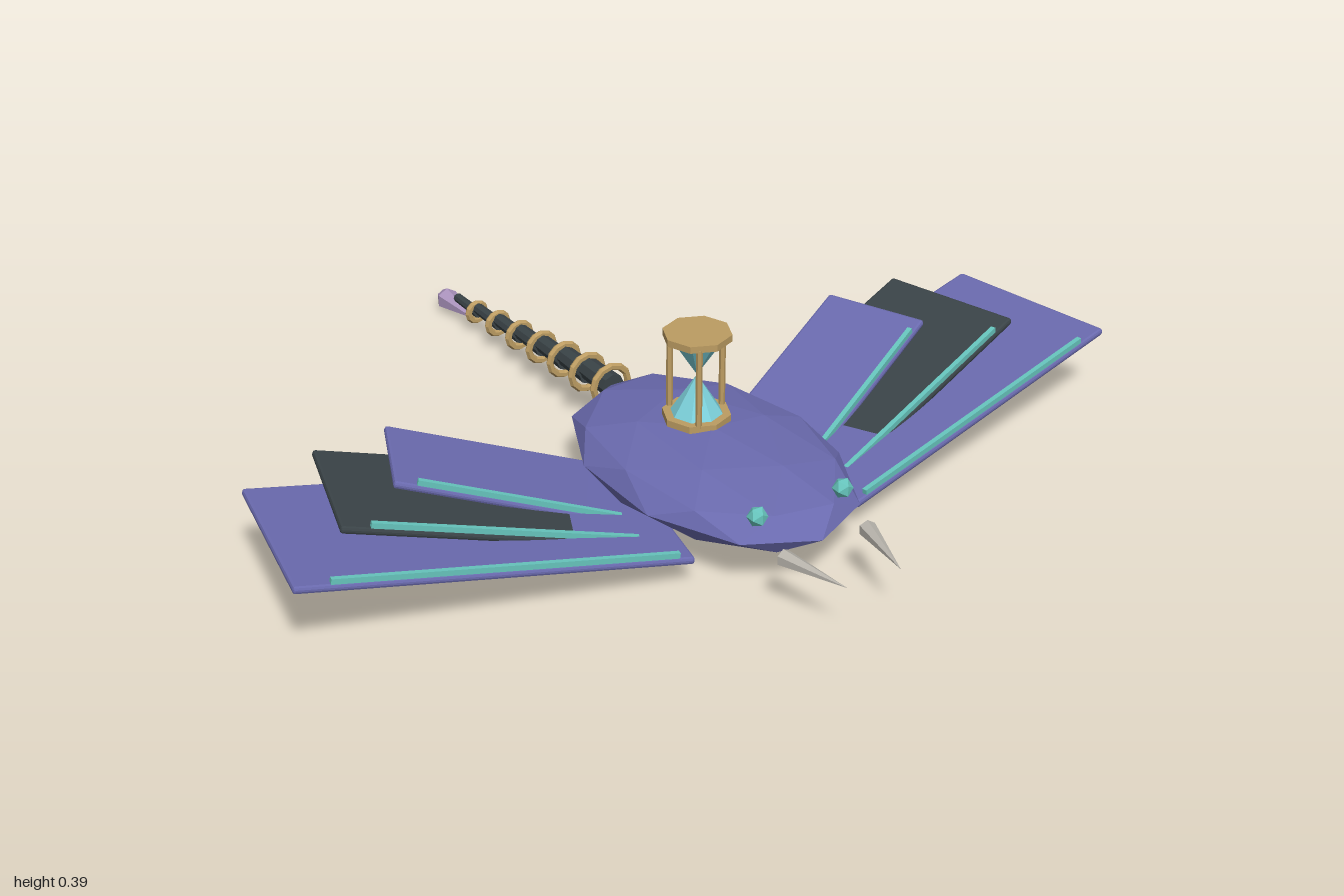
import * as THREE from 'three';
import { RoundedBoxGeometry } from 'three/addons/geometries/RoundedBoxGeometry.js';

const mat = (name, color) => {
  const m = new THREE.MeshStandardMaterial({ color, flatShading: true });
  m.name = name;
  return m;
};

export function createModel() {
  const root = new THREE.Group();
  root.name = 'hourglassRay';
  const purple = mat('purple hide', 0x6a6aae);
  const charcoal = mat('charcoal', 0x3a4347);
  const teal = mat('teal glow', 0x66c4bc);
  const glass = mat('pale cyan sand', 0x7cd0da);
  const brass = mat('brass', 0xbc9c62);
  const bone = mat('grey bone', 0xb8b4ac);
  const lilac = mat('lilac crystal', 0xac94be);

  const add = (parent, name, geometry, material, x = 0, y = 0, z = 0) => {
    const mesh = new THREE.Mesh(geometry, material);
    mesh.name = name;
    mesh.position.set(x, y, z);
    parent.add(mesh);
    return mesh;
  };

  // Body: faceted ball with a corner on the y axis, squashed into a flat oval
  const ball = new THREE.IcosahedronGeometry(1, 1);
  ball.rotateX(-Math.atan2(0.8507, 0.5257));
  ball.rotateY(Math.PI / 2);
  ball.scale(0.25, 0.076, 0.389);
  add(root, 'body', ball, purple, 0, 0.12, 0.2885);

  // Wings: three overlapping plates a side, each with a raised glowing stripe
  const wings = [
    { name: 'frontWing', x: 0.158, y: 0.061, z: 0.33, span: 0.816, rise: 0.11, chord: 0.403, yaw: 0.21, material: purple },
    { name: 'middleWing', x: 0.166, y: 0.05, z: 0.277, span: 0.65, rise: 0.142, chord: 0.323, yaw: 0.3, material: charcoal },
    { name: 'rearWing', x: 0.159, y: 0.049, z: 0.233, span: 0.5, rise: 0.144, chord: 0.24, yaw: 0.415, material: purple },
  ];
  for (const s of [1, -1]) {
    for (const w of wings) {
      const wing = new THREE.Group();
      wing.name = w.name + (s > 0 ? 'Left' : 'Right');
      wing.position.set(s * w.x, w.y, w.z);
      wing.rotation.set(0, s * w.yaw, s * Math.atan2(w.rise, w.span), 'YZX');
      const length = Math.hypot(w.span, w.rise);
      add(wing, 'wingPlate', new RoundedBoxGeometry(length, 0.016, w.chord, 1, 0.006), w.material, s * length / 2);
      add(wing, 'wingStripe', new THREE.BoxGeometry(length * 0.87, 0.013, 0.011), teal,
        s * length * 0.475, 0.0125, w.chord / 2 - 0.009);
      root.add(wing);
    }

    // Eyes, fangs and belly gills
    add(root, 'eye', new THREE.IcosahedronGeometry(0.022, 0), teal, s * 0.104, 0.17, 0.6);
    const fang = new THREE.ConeGeometry(0.019, 0.165, 6);
    fang.rotateX(Math.PI / 2);
    add(root, 'fang', fang, bone, s * 0.083, 0.12, 0.767).rotation.y = -s * 0.235;
    for (let i = 0; i < 3; i++) {
      add(root, 'gill', new THREE.BoxGeometry(0.08, 0.012, 0.008), teal,
        s * 0.075, 0.047 + i * 0.003, 0.32 + i * 0.07);
    }
  }

  // Hourglass on the back
  const hourglass = new THREE.Group();
  hourglass.name = 'hourglass';
  hourglass.position.set(0, 0, 0.23);
  for (const y of [0.199, 0.384]) {
    add(hourglass, 'hourglassPlate', new THREE.CylinderGeometry(0.073, 0.073, 0.015, 8), brass, 0, y);
  }
  add(hourglass, 'lowerBulb', new THREE.ConeGeometry(0.056, 0.087, 8), glass, 0, 0.249);
  add(hourglass, 'upperBulb', new THREE.ConeGeometry(0.056, 0.085, 8), glass, 0, 0.335).rotation.x = Math.PI;
  for (let i = 0; i < 3; i++) {
    const a = i * Math.PI * 2 / 3;
    add(hourglass, 'hourglassPost', new THREE.CylinderGeometry(0.007, 0.007, 0.18, 6), brass,
      Math.cos(a) * 0.063, 0.291, Math.sin(a) * 0.063);
  }
  root.add(hourglass);

  // Tail: stepped, shrinking segments with a brass ring at the head of each
  for (let i = 0; i < 7; i++) {
    const y = 0.12 - i * 0.0115;
    const z = -0.103 - i * 0.0975;
    const r = 0.028 - i * 0.0027;
    const segment = new THREE.CylinderGeometry(r, r * 0.9, 0.1, 8);
    segment.rotateX(Math.PI / 2);
    add(root, 'tailSegment', segment, charcoal, 0, y, z - 0.04);
    add(root, 'tailRing', new THREE.TorusGeometry(0.044 - i * 0.0038, 0.0085, 6, 12), brass, 0, y, z);
  }

  // Tail crystal
  const profile = [[0, 0.848], [0.016, 0.848], [0.027, 0.828], [0, 0.7]]
    .map(([r, d]) => new THREE.Vector2(r, -d));
  const crystal = new THREE.LatheGeometry(profile, 6);
  crystal.rotateX(Math.PI / 2);
  add(root, 'tailCrystal', crystal, lilac, 0, 0.027, 0);

  return root;
}
